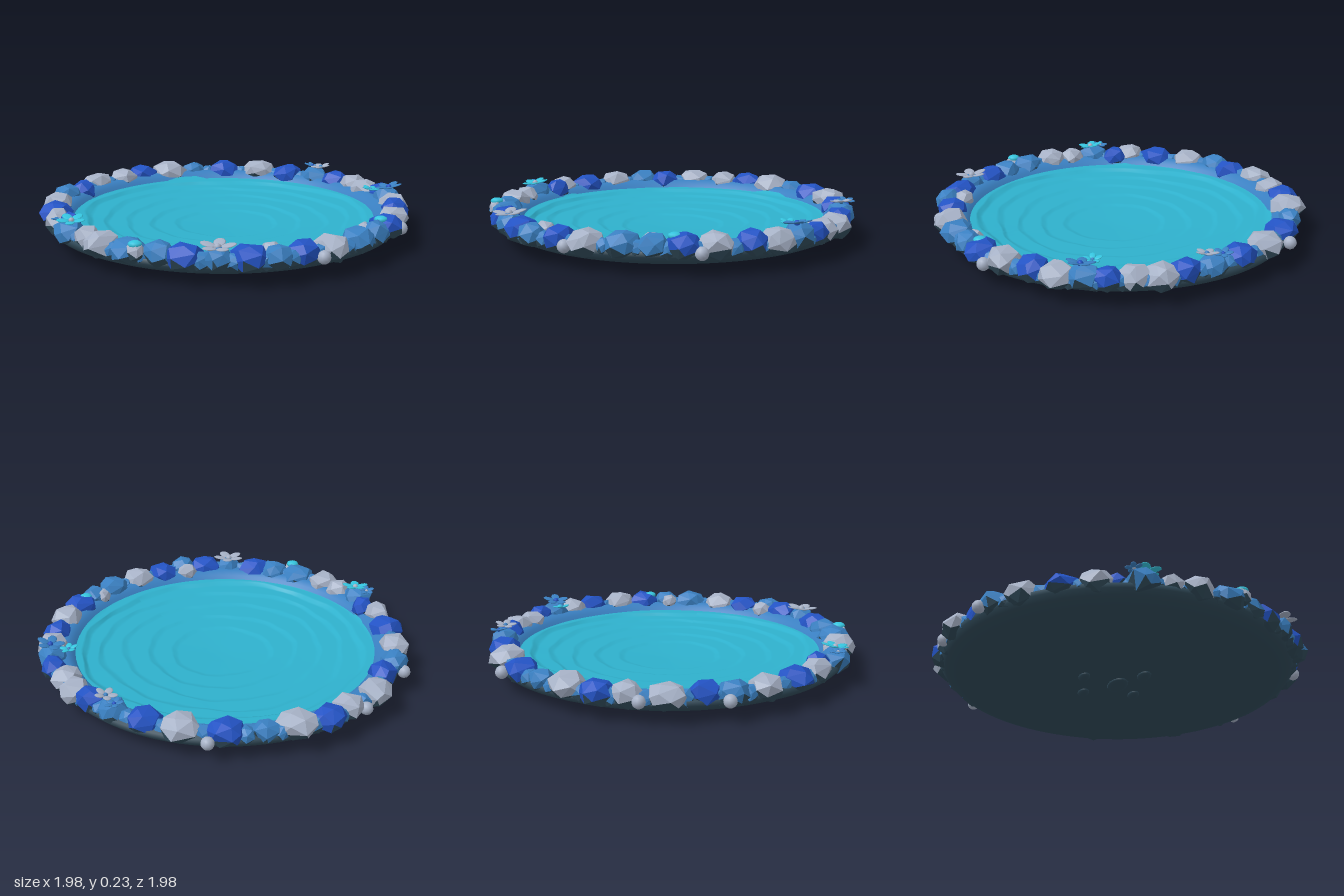
import * as THREE from 'three';
import { ConvexGeometry } from 'three/addons/geometries/ConvexGeometry.js';

const paint = (name, color, side = THREE.FrontSide) => {
  const m = new THREE.MeshStandardMaterial({ color, side });
  m.name = name;
  return m;
};

export function createModel() {
  const model = new THREE.Group();
  const deep = paint('deepBlue', 0x2353c4);
  const mid = paint('midBlue', 0x3a80c2);
  const grey = paint('paleGrey', 0xa6b1c6);
  const slate = paint('slate', 0x304a59);
  const water = paint('water', 0x2eb0cc);
  const cyan = paint('cyan', 0x35c4de);

  let seed = 7;
  const rand = () => (seed = (seed * 16807) % 2147483647) / 2147483647;

  const add = (name, geometry, material, x = 0, y = 0, z = 0, parent = model) => {
    const mesh = new THREE.Mesh(geometry, material);
    mesh.name = name;
    mesh.position.set(x, y, z);
    parent.add(mesh);
    return mesh;
  };
  const lathe = (points) =>
    new THREE.LatheGeometry(points.map(([r, y]) => new THREE.Vector2(r, y)), 96);

  // Shallow dish, and the bank the stones sit on
  add('dish', lathe([[0, 0.02], [0.5, 0.02], [0.76, 0.025], [0.86, 0.04], [0.92, 0.065],
    [0.945, 0.09], [0.945, 0.115], [0.92, 0.13]]), slate);
  add('bank', lathe([[0.92, 0.13], [0.89, 0.145], [0.85, 0.145], [0.82, 0.125], [0.8, 0.1]]), mid);

  // Water bed: terraces stepping down to the middle, with wavering edges
  const steps = [[0.83, 0.124], [0.755, 0.106], [0.655, 0.088], [0.535, 0.076], [0.40, 0.066], [0.27, 0.056]];
  const profile = [[0.87, 0.128]];
  steps.forEach(([r, y], i) => {
    const next = i < steps.length - 1 ? steps[i + 1][1] : 0.047;
    profile.push([r + 0.012, y + 0.001], [r, y - 0.001], [r - 0.014, next + 0.003], [r - 0.03, next + 0.001]);
  });
  profile.push([0.12, 0.045], [0.1, 0.042], [0, 0.041]);
  const bed = lathe(profile);
  const pos = bed.attributes.position;
  for (let i = 0; i < pos.count; i++) {
    const x = pos.getX(i), z = pos.getZ(i);
    const r = Math.hypot(x, z), a = Math.atan2(z, x);
    const fade = r > 0.8 ? 0.3 : 1;
    const k = 1 + fade * (0.02 * Math.sin(3 * a + r * 9) + 0.012 * Math.sin(8 * a + r * 25)
      + 0.006 * Math.sin(19 * a - r * 30));
    pos.setX(i, x * k);
    pos.setZ(i, z * k + 0.035 * (1 - r));
  }
  bed.computeVertexNormals();
  add('waterBed', bed, water);

  // Faceted stone: jittered points on a blocky ellipsoid, slate on its underside
  function stone(name, x, z, r, material, y = 0.132, h = 0.068) {
    const points = [], n = 20, spin = rand() * 6;
    const wide = r * (1 + 0.12 * rand()), thick = r * (0.92 + 0.12 * rand());
    for (let i = 0; i < n; i++) {
      const v = 1 - (2 * i + 1) / n, a = i * 2.4 + spin + rand() * 0.6;
      const s = Math.sqrt(1 - v * v), k = 0.95 + rand() * 0.18;
      points.push(new THREE.Vector3(Math.cos(a) * s * wide * k,
        THREE.MathUtils.clamp(v * 1.15, -1, 0.95 + rand() * 0.1) * h, Math.sin(a) * s * thick * k));
    }
    const hull = new ConvexGeometry(points), p = hull.attributes.position;
    const upper = [], lower = [];
    for (let i = 0; i < p.count; i += 3) {
      const cy = (p.getY(i) + p.getY(i + 1) + p.getY(i + 2)) / 3;
      (cy < -0.25 * h ? lower : upper).push(i, i + 1, i + 2);
    }
    hull.setIndex([...upper, ...lower]);
    hull.addGroup(0, upper.length, 0);
    hull.addGroup(upper.length, lower.length, 1);
    add(name, hull, [material, slate], x, y, z).rotation.y = Math.atan2(x, z);
  }

  // Ring of stones: x, z, radius, colour
  const ring = [
    [0, -0.9, 0.078, grey], [0.145, -0.91, 0.088, deep], [0.31, -0.85, 0.092, grey],
    [0.455, -0.79, 0.065, mid], [0.6, -0.67, 0.095, deep], [0.74, -0.5, 0.092, grey],
    [0.82, -0.33, 0.09, deep], [0.88, -0.16, 0.075, mid], [0.9, -0.01, 0.076, deep],
    [0.91, 0.12, 0.08, grey], [0.87, 0.24, 0.08, grey], [0.86, 0.37, 0.07, deep],
    [0.8, 0.46, 0.075, mid], [0.73, 0.57, 0.08, grey], [0.63, 0.66, 0.078, deep],
    [0.49, 0.77, 0.085, grey], [0.35, 0.84, 0.085, deep], [0.22, 0.88, 0.07, mid],
    [0.07, 0.9, 0.083, mid], [-0.11, 0.9, 0.088, grey], [-0.27, 0.86, 0.086, deep],
    [-0.42, 0.85, 0.068, mid], [-0.52, 0.76, 0.088, deep], [-0.64, 0.67, 0.07, mid],
    [-0.73, 0.54, 0.085, deep], [-0.79, 0.43, 0.08, mid], [-0.86, 0.29, 0.088, mid],
    [-0.9, 0.12, 0.085, grey], [-0.89, -0.01, 0.068, grey], [-0.9, -0.15, 0.078, mid],
    [-0.82, -0.26, 0.065, deep], [-0.83, -0.36, 0.075, grey], [-0.74, -0.5, 0.09, deep],
    [-0.62, -0.66, 0.086, grey], [-0.48, -0.78, 0.076, mid], [-0.35, -0.81, 0.083, deep],
    [-0.19, -0.9, 0.088, grey],
  ];
  ring.forEach(([x, z, r, material], i) => {
    stone('stone', x, z, r, material, 0.13 + 0.012 * rand(), 0.055 + 0.16 * (r - 0.06) + 0.008 * rand());
    // Small stone wedged in the gap to the next one
    const [nx, nz] = ring[(i + 1) % ring.length];
    stone('gapStone', (x + nx) * 0.505, (z + nz) * 0.505, 0.045, mid, 0.12, 0.045);
  });
  stone('stone', 0.19, 0.84, 0.045, grey, 0.145, 0.045);
  stone('stone', -0.39, 0.77, 0.055, grey, 0.14, 0.05);
  stone('stone', -0.88, 0.36, 0.045, grey, 0.15, 0.045);

  // Round pebbles on the outer edge
  for (const [x, z] of [[-0.48, -0.85], [0.71, -0.66], [0.45, 0.86], [-0.21, 0.94], [-0.07, -0.955]])
    add('pebble', new THREE.SphereGeometry(0.034, 12, 8), grey, x, 0.115, z);

  // Flowers: flat rounded petals around a small heart
  function flower(x, y, z, size, petalMaterial, heartMaterial, tilt) {
    const group = new THREE.Group();
    group.name = 'flower';
    group.position.set(x, y, z);
    group.rotation.set(tilt, 0, -tilt * Math.sign(x));
    for (let i = 0; i < 5; i++) {
      const a = (i / 5) * Math.PI * 2 + x * 3;
      const petal = add('petal', new THREE.SphereGeometry(1, 10, 6), petalMaterial,
        Math.cos(a) * size * 0.58, 0.004, Math.sin(a) * size * 0.58, group);
      petal.scale.set(size * 0.44, 0.005, size * 0.33);
      petal.rotation.set(0, -a, 0.18, 'YXZ');
    }
    add('flowerHeart', new THREE.SphereGeometry(size * 0.2, 10, 6), heartMaterial, 0, 0, 0, group);
    model.add(group);
  }
  flower(-0.64, 0.193, 0.67, 0.09, grey, grey, 0.05);
  flower(-0.9, 0.203, -0.13, 0.075, cyan, grey, 0.1);
  flower(-0.92, 0.195, -0.2, 0.045, mid, grey, -0.1);
  flower(0.8, 0.208, 0.48, 0.075, mid, deep, -0.12);
  flower(0.74, 0.19, 0.4, 0.05, cyan, mid, 0.1);
  flower(0.89, 0.208, -0.12, 0.06, grey, mid, -0.1);
  flower(0.9, 0.2, -0.2, 0.05, mid, deep, 0.1);

  // Cyan moss caps on two stones
  for (const [x, z] of [[0.31, 0.84], [-0.88, 0.36]])
    add('mossCap', new THREE.SphereGeometry(0.035, 10, 6), cyan, x, 0.185, z).scale.y = 0.5;

  // Low lumps under the dish
  for (const [x, z, r] of [[0, 0, 0.09], [0.15, -0.15, 0.05], [-0.15, 0.1, 0.06], [-0.05, -0.2, 0.05], [0.1, 0.12, 0.05]])
    add('footLump', new THREE.SphereGeometry(r, 14, 8), slate, x, 0.018, z).scale.set(1, 0.018 / r, 0.6);

  return model;
}
